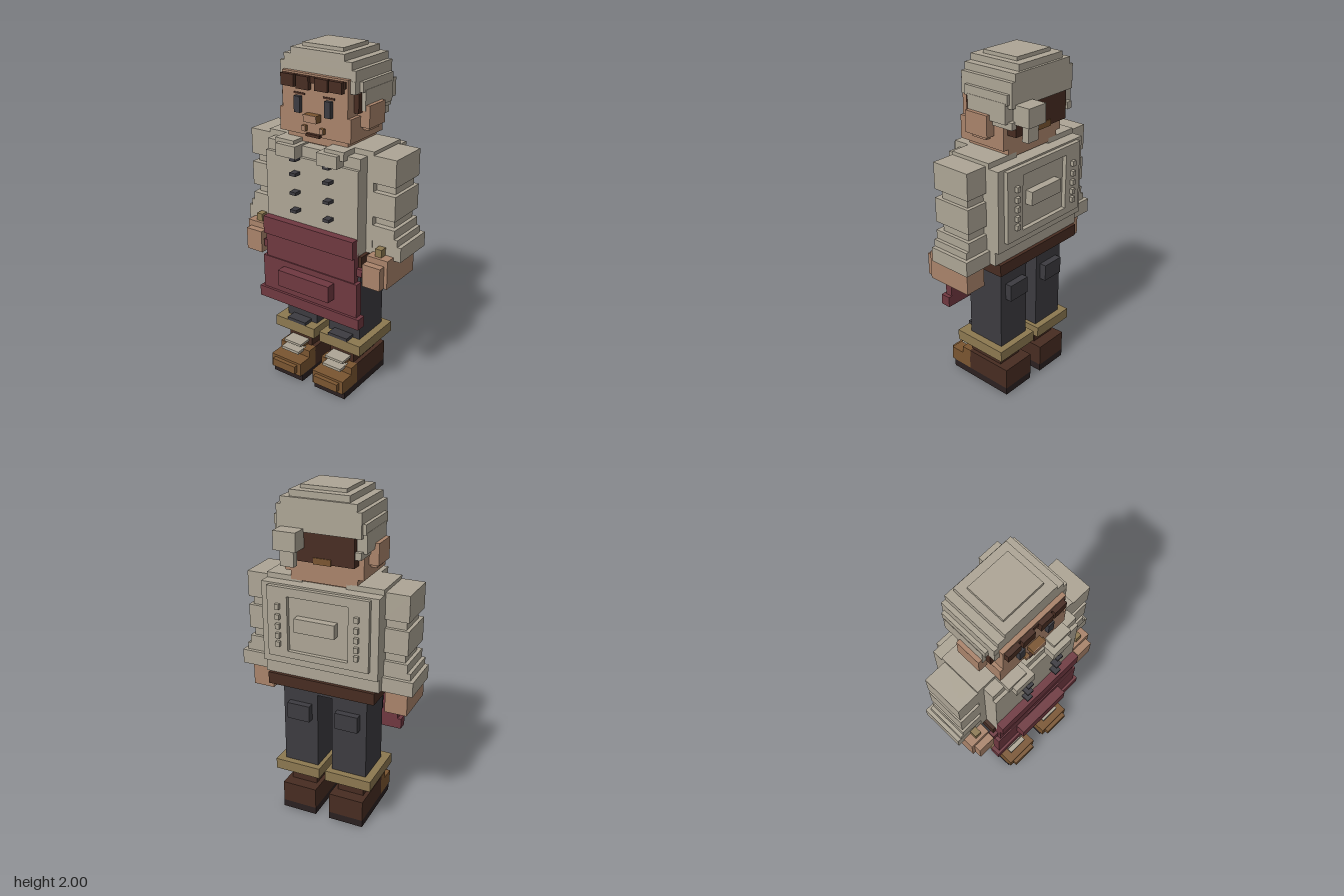
import * as THREE from 'three';

const mat = (name, color) => {
  const m = new THREE.MeshStandardMaterial({ color });
  m.name = name;
  return m;
};

export function createModel() {
  const cloth = mat('offWhiteCloth', 0xada595);
  const skin = mat('skin', 0xa9836a);
  const red = mat('apronRed', 0x6f3840);
  const charcoal = mat('charcoal', 0x3c3b40);
  const dark = mat('darkBrown', 0x472c21);
  const brown = mat('leatherBrown', 0x7a5530);
  const tan = mat('tan', 0x8c7850);
  const sole = mat('soleBlack', 0x2a2020);

  const model = new THREE.Group();
  const group = (name) => {
    const g = new THREE.Group();
    g.name = name;
    model.add(g);
    return g;
  };
  // Box given by its extents on each axis
  const box = (g, name, m, x0, x1, y0, y1, z0, z1) => {
    const mesh = new THREE.Mesh(new THREE.BoxGeometry(x1 - x0, y1 - y0, z1 - z0), m);
    mesh.position.set((x0 + x1) / 2, (y0 + y1) / 2, (z0 + z1) / 2);
    mesh.name = name;
    g.add(mesh);
  };
  // Box centred on x = 0, and a mirrored left/right pair
  const mid = (g, name, m, hx, ...r) => box(g, name, m, -hx, hx, ...r);
  const pair = (g, name, m, x0, x1, ...r) => {
    box(g, name + 'Left', m, x0, x1, ...r);
    box(g, name + 'Right', m, -x1, -x0, ...r);
  };

  // Boots
  const boots = group('boots');
  pair(boots, 'sole', sole, 0.045, 0.26, 0, 0.045, -0.18, 0.25);
  pair(boots, 'heel', dark, 0.045, 0.26, 0.045, 0.175, -0.18, 0.12);
  pair(boots, 'toe', brown, 0.045, 0.26, 0.045, 0.13, 0.12, 0.27);
  pair(boots, 'toeCap', brown, 0.07, 0.235, 0.065, 0.115, 0.27, 0.295);
  pair(boots, 'instep', brown, 0.045, 0.26, 0.13, 0.175, 0.115, 0.18);
  pair(boots, 'shaft', dark, 0.07, 0.235, 0.175, 0.27, -0.11, 0.12);
  pair(boots, 'tongue', brown, 0.1, 0.205, 0.175, 0.2, 0.12, 0.16);
  pair(boots, 'upperLace', cloth, 0.09, 0.215, 0.2, 0.215, 0.12, 0.205);
  pair(boots, 'lowerLace', cloth, 0.09, 0.215, 0.16, 0.177, 0.15, 0.23);

  // Trousers
  const trousers = group('trousers');
  pair(trousers, 'leg', charcoal, 0.045, 0.26, 0.3, 0.85, -0.14, 0.1);
  mid(trousers, 'hips', charcoal, 0.26, 0.8, 0.9, -0.14, 0.1);
  pair(trousers, 'ankleCuff', tan, 0.02, 0.305, 0.265, 0.33, -0.18, 0.165);
  pair(trousers, 'backPocket', charcoal, 0.08, 0.22, 0.635, 0.735, -0.18, -0.14);
  pair(trousers, 'frontPocket', charcoal, 0.08, 0.24, 0.635, 0.735, 0.1, 0.165);
  pair(trousers, 'kneePatch', charcoal, 0.07, 0.23, 0.5, 0.58, 0.1, 0.12);
  pair(trousers, 'kneeFold', charcoal, 0.07, 0.23, 0.46, 0.48, 0.1, 0.12);
  pair(trousers, 'hemFold', charcoal, 0.085, 0.215, 0.33, 0.35, 0.1, 0.165);
  mid(trousers, 'belt', dark, 0.325, 0.85, 0.92, -0.2, 0.19);

  // Jacket
  const jacket = group('jacket');
  mid(jacket, 'torso', cloth, 0.345, 0.92, 1.47, -0.18, 0.12);
  mid(jacket, 'chest', cloth, 0.305, 0.92, 1.41, 0.12, 0.205);
  mid(jacket, 'upperChest', cloth, 0.305, 1.41, 1.47, 0.12, 0.185);
  pair(jacket, 'shoulder', cloth, 0.13, 0.345, 1.47, 1.5, -0.14, 0.12);
  mid(jacket, 'backPanel', cloth, 0.345, 1.0, 1.47, -0.205, -0.18);
  mid(jacket, 'backYoke', cloth, 0.3, 1.41, 1.46, -0.23, -0.205);
  mid(jacket, 'backHem', cloth, 0.3, 1.05, 1.09, -0.23, -0.205);
  pair(jacket, 'backStrip', cloth, 0.18, 0.3, 1.09, 1.41, -0.23, -0.205);
  box(jacket, 'backPatch', cloth, -0.11, 0.13, 1.22, 1.3, -0.25, -0.205);
  for (const y of [1.13, 1.18, 1.235, 1.29, 1.35])
    pair(jacket, 'backStud', cloth, 0.22, 0.245, y - 0.015, y + 0.015, -0.25, -0.23);
  pair(jacket, 'collar', cloth, 0.07, 0.2, 1.41, 1.48, 0.12, 0.25);
  pair(jacket, 'collarTop', cloth, 0.1, 0.225, 1.45, 1.5, 0.1, 0.22);
  for (const y of [1.405, 1.32, 1.21, 1.105])
    for (const x of [-0.09, 0.13])
      box(jacket, 'button', charcoal, x - 0.02, x + 0.02, y - 0.009, y + 0.009, 0.2, 0.25);

  // Sleeves with folds, cuffs and hands
  const arms = group('arms');
  pair(arms, 'sleeve', cloth, 0.345, 0.46, 1.0, 1.48, -0.1, 0.085);
  for (const [y0, y1] of [[1.0, 1.09], [1.14, 1.28], [1.33, 1.48]])
    pair(arms, 'sleeveFold', cloth, 0.34, 0.48, y0, y1, -0.12, 0.12);
  pair(arms, 'cuffStep', cloth, 0.345, 0.5, 1.0, 1.04, -0.12, 0.12);
  pair(arms, 'cuff', cloth, 0.345, 0.522, 0.915, 1.0, -0.142, 0.118);
  pair(arms, 'hand', skin, 0.35, 0.48, 0.768, 0.935, -0.1, 0.18);
  pair(arms, 'fingers', skin, 0.35, 0.46, 0.768, 0.9, 0.18, 0.222);
  pair(arms, 'bracelet', tan, 0.39, 0.43, 0.93, 0.98, 0.115, 0.162);

  // Apron
  const apron = group('apron');
  mid(apron, 'apronBand', red, 0.305, 0.92, 1.025, 0.19, 0.25);
  mid(apron, 'apronUpper', red, 0.305, 0.77, 0.92, 0.19, 0.228);
  mid(apron, 'apronMiddle', red, 0.325, 0.56, 0.77, 0.19, 0.235);
  mid(apron, 'apronHem', red, 0.348, 0.5, 0.565, 0.19, 0.25);
  mid(apron, 'apronPocket', red, 0.175, 0.635, 0.735, 0.23, 0.292);
  pair(apron, 'apronTie', red, 0.3, 0.34, 0.81, 0.855, 0.17, 0.21);

  // Head
  const head = group('head');
  mid(head, 'neck', skin, 0.15, 1.42, 1.5, -0.12, 0.12);
  mid(head, 'chin', skin, 0.195, 1.48, 1.535, -0.14, 0.14);
  mid(head, 'face', skin, 0.23, 1.53, 1.66, -0.14, 0.165);
  mid(head, 'upperFace', skin, 0.21, 1.66, 1.86, -0.14, 0.165);
  pair(head, 'ear', skin, 0.21, 0.285, 1.6, 1.72, -0.075, 0.075);
  pair(head, 'earLobe', skin, 0.21, 0.265, 1.58, 1.6, -0.05, 0.05);
  pair(head, 'eye', charcoal, 0.08, 0.118, 1.65, 1.738, 0.165, 0.188);
  pair(head, 'eyebrow', dark, 0.06, 0.13, 1.745, 1.755, 0.165, 0.17);
  mid(head, 'nose', brown, 0.042, 1.615, 1.655, 0.165, 0.206);
  mid(head, 'noseFace', skin, 0.042, 1.615, 1.655, 0.206, 0.21);
  pair(head, 'mouthCorner', brown, 0.045, 0.07, 1.555, 1.585, 0.165, 0.185);
  pair(head, 'mouthCornerFace', skin, 0.045, 0.07, 1.555, 1.585, 0.185, 0.188);
  mid(head, 'mouth', dark, 0.045, 1.53, 1.545, 0.165, 0.185);

  // Hair
  const hair = group('hair');
  for (const [x0, x1, y] of [[-0.2, -0.115, 1.785], [-0.1, -0.02, 1.78], [0.02, 0.1, 1.785], [0.11, 0.19, 1.79]])
    box(hair, 'fringeLock', dark, x0, x1, y, 1.85, 0.13, 0.192);
  mid(hair, 'fringe', dark, 0.2, 1.815, 1.85, 0.12, 0.172);
  pair(hair, 'sideLock', dark, 0.205, 0.24, 1.68, 1.79, 0.07, 0.11);
  mid(hair, 'backHair', dark, 0.2, 1.61, 1.79, -0.198, -0.13);
  box(hair, 'hairTie', brown, -0.07, 0.03, 1.605, 1.64, -0.203, -0.15);

  // Stepped headscarf with a knot behind
  const scarf = group('headscarf');
  const tiers = [
    [0.26, 1.79, 1.845, -0.19, 0.1], [0.24, 1.84, 1.905, -0.205, 0.14],
    [0.215, 1.9, 1.945, -0.205, 0.14], [0.17, 1.94, 1.98, -0.19, 0.14],
    [0.13, 1.98, 2.0, -0.14, 0.09],
  ];
  for (const [hx, ...r] of tiers) mid(scarf, 'scarfTier', cloth, hx, ...r);
  pair(scarf, 'scarfTemple', cloth, 0.2, 0.24, 1.785, 1.85, 0.08, 0.142);
  pair(scarf, 'scarfSide', cloth, 0.205, 0.262, 1.69, 1.8, -0.18, 0.08);
  pair(scarf, 'scarfSideBottom', cloth, 0.205, 0.24, 1.66, 1.7, -0.205, 0.07);
  mid(scarf, 'scarfBack', cloth, 0.24, 1.77, 1.85, -0.205, -0.13);
  box(scarf, 'knot', cloth, 0.085, 0.215, 1.685, 1.788, -0.295, -0.19);
  box(scarf, 'knotTail', cloth, 0.11, 0.19, 1.595, 1.69, -0.27, -0.23);

  return model;
}
